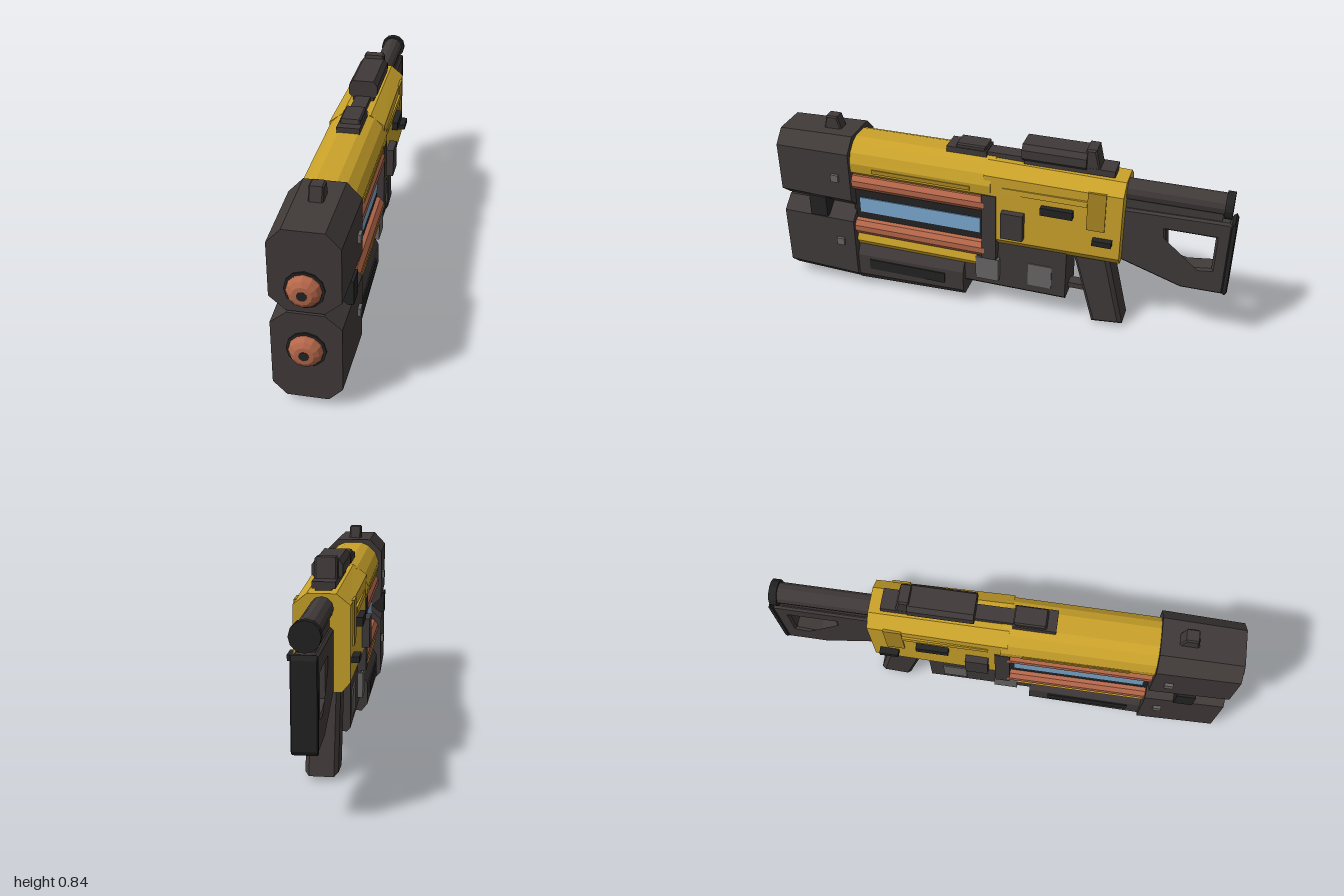
import * as THREE from 'three';

const mat = (name, color) => {
  const m = new THREE.MeshStandardMaterial({ color });
  m.name = name;
  return m;
};

export function createModel() {
  const yellow = mat('yellow paint', 0xcba32a);
  const ochre = mat('dark yellow trim', 0xab8722);
  const dark = mat('dark gunmetal', 0x403a39);
  const black = mat('black', 0x242323);
  const copper = mat('copper', 0xb5674a);
  const blue = mat('blue glass', 0x7ba8cf);
  const grey = mat('grey metal', 0x686665);
  const model = new THREE.Group();

  const add = (name, geo, material) => {
    const g = geo.index ? geo.toNonIndexed() : geo;
    g.computeVertexNormals();
    const mesh = new THREE.Mesh(g, material);
    mesh.name = name;
    model.add(mesh);
    return mesh;
  };

  // Box given by its extents in x, y and z
  const box = (name, m, x0, x1, y0, y1, z0, z1) =>
    add(name, new THREE.BoxGeometry(x1 - x0, y1 - y0, z1 - z0)
      .translate((x0 + x1) / 2, (y0 + y1) / 2, (z0 + z1) / 2), m);
  const midBox = (name, m, w, ...rest) => box(name, m, -w, w, ...rest);
  const sideBoxes = (name, m, x0, x1, ...rest) => {
    box(name + 'Left', m, x0, x1, ...rest);
    box(name + 'Right', m, -x1, -x0, ...rest);
  };

  // Symmetric cross-section (right half, bottom to top) swept along z;
  // frontX and frontY scale the front end about height cy
  const prism = (name, m, half, z0, z1, frontX = 1, frontY = 1, cy = 0) => {
    const pts = [...half, ...half.slice().reverse().map(([x, y]) => [-x, y])];
    const shape = new THREE.Shape(pts.map(p => new THREE.Vector2(...p)));
    const g = new THREE.ExtrudeGeometry(shape, { depth: z1 - z0, bevelEnabled: false });
    const p = g.attributes.position;
    for (let i = 0; i < p.count; i++) {
      if (p.getZ(i) > (z1 - z0) / 2) {
        p.setX(i, p.getX(i) * frontX);
        p.setY(i, cy + (p.getY(i) - cy) * frontY);
      }
    }
    return add(name, g.translate(0, 0, z0), m);
  };

  // Side silhouette of [z, y] points, extruded across x with chamfered rims
  const profile = (name, m, pts, w, bevel = 0, holes = []) => {
    const v = a => a.map(p => new THREE.Vector2(...p));
    const shape = new THREE.Shape(v(pts));
    holes.forEach(h => shape.holes.push(new THREE.Path(v(h))));
    const depth = 2 * (w - bevel);
    const g = new THREE.ExtrudeGeometry(shape, {
      depth, bevelEnabled: bevel > 0, bevelSize: bevel, bevelOffset: -bevel,
      bevelThickness: bevel, bevelSegments: 1,
    });
    return add(name, g.translate(0, 0, -depth / 2).rotateY(-Math.PI / 2), m);
  };

  const rod = (name, m, r, x, y, z0, z1, sides = 12, rFront = r) =>
    add(name, new THREE.CylinderGeometry(rFront, r, z1 - z0, sides)
      .rotateX(Math.PI / 2).translate(x, y, (z0 + z1) / 2), m);

  // Twin muzzle blocks
  prism('upperMuzzleBlock', dark, [[0.072, 0.412], [0.137, 0.468], [0.137, 0.695], [0.08, 0.755]],
    0.62, 0.957, 0.95, 0.955, 0.56);
  prism('lowerMuzzleBlock', dark, [[0.082, 0.03], [0.137, 0.085], [0.137, 0.362], [0.072, 0.415]],
    0.62, 0.957, 0.95, 0.965, 0.27);
  midBox('muzzleLink', black, 0.144, 0.37, 0.47, 0.74, 0.82);
  profile('frontSight', dark, [[0.69, 0.74], [0.775, 0.74], [0.76, 0.808], [0.71, 0.808]], 0.028, 0.006);
  for (const y of [0.575, 0.25]) sideBoxes('muzzleStud', grey, 0.12, 0.148, y - 0.017, y + 0.017, 0.67, 0.705);

  // Copper nozzles with dark collars and bores
  for (const y of [0.515, 0.258]) {
    rod('nozzleCollar', black, 0.074, 0, y, 0.94, 0.963);
    const dome = [[0.064, 0.95], [0.064, 0.972], [0.054, 0.988], [0.036, 0.999], [0.018, 1], [0, 0.999]];
    add('nozzle', new THREE.LatheGeometry(dome.map(p => new THREE.Vector2(...p)), 12)
      .rotateX(Math.PI / 2).translate(0, y, 0), copper);
    rod('nozzleBore', black, 0.019, 0, y, 0.98, 1.001);
  }

  // Handguard: shell, inner core, glass panels and tubes
  prism('handguardShell', yellow, [[0.1, 0.585], [0.12, 0.605], [0.125, 0.65], [0.108, 0.695], [0.075, 0.727], [0.04, 0.742]],
    -0.01, 0.63, 0.98, 0.99, 0.6);
  sideBoxes('handguardTrim', ochre, 0.118, 0.126, 0.617, 0.635, 0.08, 0.52);
  midBox('innerCore', black, 0.08, 0.24, 0.6, 0, 0.63);
  sideBoxes('windowFrame', black, 0.075, 0.09, 0.355, 0.515, 0.02, 0.63);
  sideBoxes('windowGlass', blue, 0.088, 0.094, 0.395, 0.467, 0.045, 0.6);
  for (const s of [-1, 1]) for (const y of [0.55, 0.322])
    rod('sideTube', copper, 0.042, s * 0.082, y, 0.02, 0.63, 10);
  prism('lowerRail', yellow, [[0.07, 0.215], [0.095, 0.225], [0.11, 0.25], [0.1, 0.285]], 0.06, 0.63);

  // Foregrip under the handguard
  prism('foregrip', dark, [[0.09, 0.052], [0.115, 0.085], [0.115, 0.18], [0.09, 0.222]],
    0.12, 0.63, 1.02, 1.1, 0.222);
  sideBoxes('foregripSlot', black, 0.11, 0.121, 0.11, 0.16, 0.205, 0.565);

  // Receiver and its side fittings
  prism('receiver', yellow, [[0.075, 0.35], [0.108, 0.39], [0.108, 0.685], [0.055, 0.728]],
    -0.557, 0.02, 1.08, 1.03, 0.38);
  midBox('centreBracket', dark, 0.121, 0.285, 0.602, -0.033, 0.03);
  sideBoxes('receiverPlate', dark, 0.1, 0.145, 0.42, 0.543, -0.155, -0.06);
  sideBoxes('ejectionCover', black, 0.1, 0.136, 0.56, 0.595, -0.36, -0.225);
  sideBoxes('releaseLever', black, 0.1, 0.138, 0.458, 0.482, -0.525, -0.445);
  sideBoxes('receiverStrip', yellow, 0.1, 0.119, 0.622, 0.648, -0.415, -0.06);
  sideBoxes('rearPanel', ochre, 0.1, 0.115, 0.515, 0.69, -0.49, -0.415);

  // Magazine housing with grey panels
  prism('magazineHousing', dark, [[0.07, 0.115], [0.085, 0.13], [0.085, 0.36]], -0.333, 0.12);
  midBox('housingLip', dark, 0.1, 0.27, 0.293, -0.03, 0.12);
  sideBoxes('frontHousingPanel', grey, 0.08, 0.108, 0.165, 0.275, -0.04, 0.063);
  sideBoxes('rearHousingPanel', grey, 0.08, 0.09, 0.165, 0.275, -0.272, -0.168);

  // Pistol grip and trigger guard
  profile('pistolGrip', dark, [[-0.345, 0.38], [-0.45, 0.005], [-0.585, 0.02], [-0.5, 0.38]], 0.064, 0.016);
  midBox('triggerGuard', dark, 0.025, 0.143, 0.168, -0.43, -0.32);
  profile('trigger', dark, [[-0.355, 0.37], [-0.38, 0.25], [-0.395, 0.25], [-0.39, 0.37]], 0.014);

  // Top rail, optic and sights
  midBox('topRail', dark, 0.032, 0.725, 0.758, -0.505, 0.2);
  midBox('frontRailBase', dark, 0.047, 0.73, 0.764, 0.03, 0.205);
  profile('frontRailBlock', dark, [[0.035, 0.755], [0.17, 0.755], [0.16, 0.782], [0.035, 0.782]], 0.042, 0.006);
  midBox('rearRailBase', dark, 0.045, 0.735, 0.762, -0.505, -0.13);
  prism('opticBody', dark, [[0.045, 0.752], [0.061, 0.768], [0.061, 0.805], [0.045, 0.827]], -0.39, -0.123);
  profile('rearSight', dark, [[-0.445, 0.755], [-0.37, 0.755], [-0.385, 0.842], [-0.425, 0.842]], 0.044, 0.007);

  // Shoulder stock
  rod('stockTube', dark, 0.045, 0, 0.672, -0.955, -0.54);
  rod('stockTubeCap', black, 0.056, 0, 0.669, -0.975, -0.943);
  profile('stockFrame', dark,
    [[-0.54, 0.6], [-0.97, 0.608], [-0.985, 0.595], [-0.985, 0.265], [-0.81, 0.263], [-0.54, 0.352]],
    0.044, 0.009, [
      [[-0.555, 0.53], [-0.555, 0.432], [-0.675, 0.4], [-0.66, 0.53]],
      [[-0.725, 0.53], [-0.74, 0.385], [-0.82, 0.365], [-0.925, 0.38], [-0.925, 0.53]],
    ]);
  midBox('stockSpine', dark, 0.03, 0.59, 0.64, -0.94, -0.54);
  profile('buttPad', black, [[-0.978, 0.275], [-0.99, 0.264], [-1, 0.28], [-1, 0.595], [-0.99, 0.612], [-0.978, 0.6]], 0.047, 0.004);

  return model;
}
